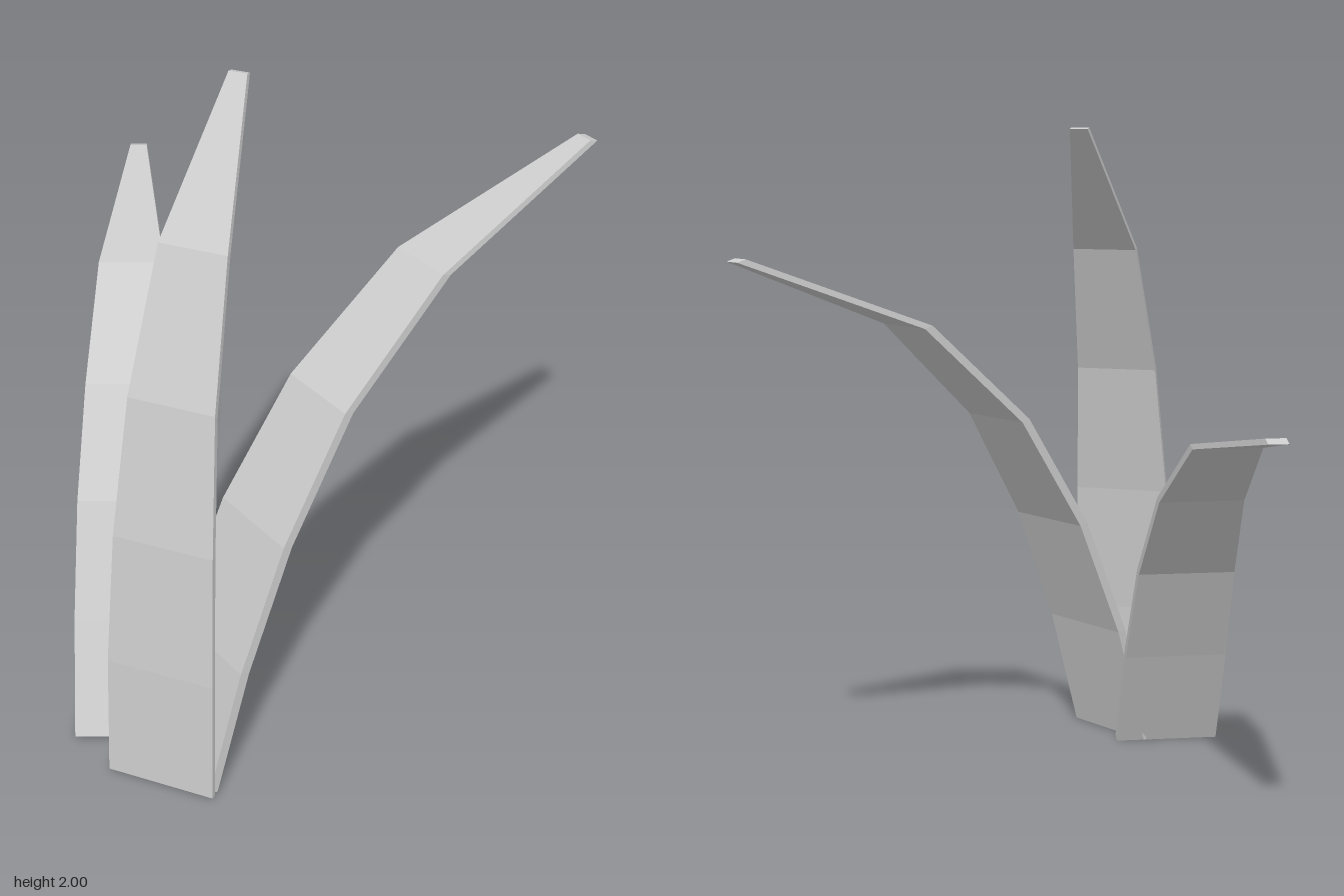
import * as THREE from 'three';

// Half-widths of a blade from root to tip, shared by all blades
const HALF_WIDTHS = [0.165, 0.162, 0.15, 0.128, 0.1, 0.027];

// base: [x, z] of the root; yaw: heading of the lean away from -z;
// profile: [lean distance, height] at each joint; back: [lean, height] offset of the rear face
function makeBlade(name, base, yaw, profile, back, material) {
  const dx = Math.sin(yaw), dz = -Math.cos(yaw);
  const positions = [], index = [];
  const quad = (a, b, c, d) => index.push(a, b, c, a, c, d);

  // Four-cornered cross-sections: front left, front right, back right, back left
  profile.forEach(([lean, height], j) => {
    for (const [side, rear] of [[-1, 0], [1, 0], [1, 1], [-1, 1]]) {
      const s = lean + rear * back[0], w = side * HALF_WIDTHS[j];
      positions.push(base[0] + dx * s - dz * w, height + rear * back[1], base[1] + dz * s + dx * w);
    }
  });

  // Skin between neighbouring sections, then the two end caps
  const last = (profile.length - 1) * 4;
  for (let r = 0; r < last; r += 4) {
    for (let i = 0; i < 4; i++) {
      const n = (i + 1) % 4;
      quad(r + i, r + n, r + 4 + n, r + 4 + i);
    }
  }
  quad(0, 3, 2, 1);
  quad(last, last + 1, last + 2, last + 3);

  const indexed = new THREE.BufferGeometry();
  indexed.setAttribute('position', new THREE.Float32BufferAttribute(positions, 3));
  indexed.setIndex(index);
  const geometry = indexed.toNonIndexed();
  geometry.computeVertexNormals();
  const mesh = new THREE.Mesh(geometry, material);
  mesh.name = name;
  return mesh;
}

export function createModel() {
  const group = new THREE.Group();
  group.name = 'grassTuft';
  const material = new THREE.MeshStandardMaterial({ color: 0xcccccc, flatShading: true });

  // Tall upright blade
  group.add(makeBlade('centerBlade', [-0.035, 0.775], 0,
    [[0, 0.015], [0.02, 0.41], [0.065, 0.82], [0.145, 1.23], [0.305, 1.625], [0.615, 2]],
    [0.018, -0.004], material));

  // Blade arching back to the left
  group.add(makeBlade('leftBlade', [-0.025, 0.67], 0.57,
    [[0, 0.015], [0.115, 0.4], [0.27, 0.77], [0.49, 1.12], [0.84, 1.43], [1.43, 1.65]],
    [0.028, -0.008], material));

  // Lower blade arching back to the right
  group.add(makeBlade('rightBlade', [-0.203, 0.626], -0.4,
    [[0, 0.015], [0.155, 0.34], [0.32, 0.65], [0.541, 0.92], [0.898, 1.14], [1.495, 1.253]],
    [0.032, -0.01], material));

  return group;
}
